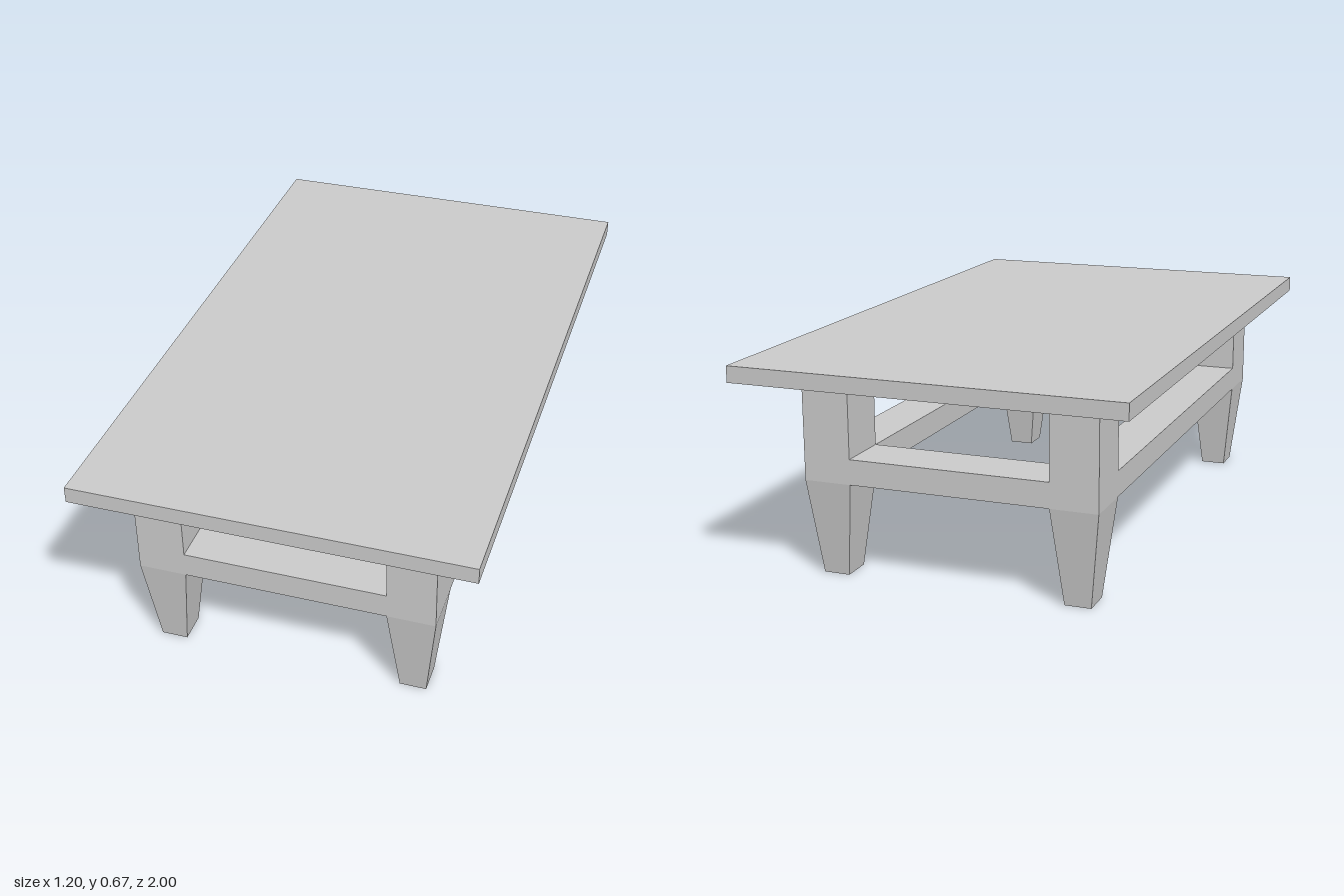
import * as THREE from 'three';

const material = new THREE.MeshStandardMaterial({ color: 0xcccccc, flatShading: true });

// Box given by its limits on each axis
function block(name, [x0, x1], [y0, y1], [z0, z1]) {
  const geometry = new THREE.BoxGeometry(x1 - x0, y1 - y0, z1 - z0);
  const mesh = new THREE.Mesh(geometry, material);
  mesh.name = name;
  mesh.position.set((x0 + x1) / 2, (y0 + y1) / 2, (z0 + z1) / 2);
  return mesh;
}

const TOP = [0.62, 0.67];
const KNEE = 0.298; // height where the legs begin to taper
const RAIL = [KNEE, 0.376];
const LEG_X = { right: [-0.465, -0.318], left: [0.305, 0.453] };
const LEG_Z = { front: [0.689, 0.857], back: [-0.835, -0.664] };
const FOOT_SCALE = 0.555;

// Square post above the knee, tapering to a smaller foot
function leg(name, xs, zs) {
  const geometry = new THREE.BoxGeometry(xs[1] - xs[0], TOP[0], zs[1] - zs[0], 1, 2, 1);
  geometry.translate(0, TOP[0] / 2, 0);
  const p = geometry.attributes.position;
  for (let i = 0; i < p.count; i++) {
    const y = p.getY(i);
    if (y < 0.01) p.setXYZ(i, p.getX(i) * FOOT_SCALE, 0, p.getZ(i) * FOOT_SCALE);
    else if (y < TOP[0] - 0.01) p.setY(i, KNEE);
  }
  geometry.computeVertexNormals();
  const mesh = new THREE.Mesh(geometry, material);
  mesh.name = name;
  mesh.position.set((xs[0] + xs[1]) / 2, 0, (zs[0] + zs[1]) / 2);
  return mesh;
}

export function createModel() {
  const table = new THREE.Group();
  table.name = 'table';

  table.add(block('tableTop', [-0.6, 0.6], TOP, [-1, 1]));

  // Four legs
  for (const [end, zs] of Object.entries(LEG_Z)) {
    for (const [side, xs] of Object.entries(LEG_X)) {
      table.add(leg(`${end}${side === 'left' ? 'Left' : 'Right'}Leg`, xs, zs));
    }
  }

  // Rails between the legs, as thick as the legs
  for (const [end, zs] of Object.entries(LEG_Z)) {
    table.add(block(`${end}Rail`, [LEG_X.right[1], LEG_X.left[0]], RAIL, zs));
  }
  for (const [side, xs] of Object.entries(LEG_X)) {
    table.add(block(`${side}Rail`, xs, RAIL, [LEG_Z.back[1], LEG_Z.front[0]]));
  }

  return table;
}
